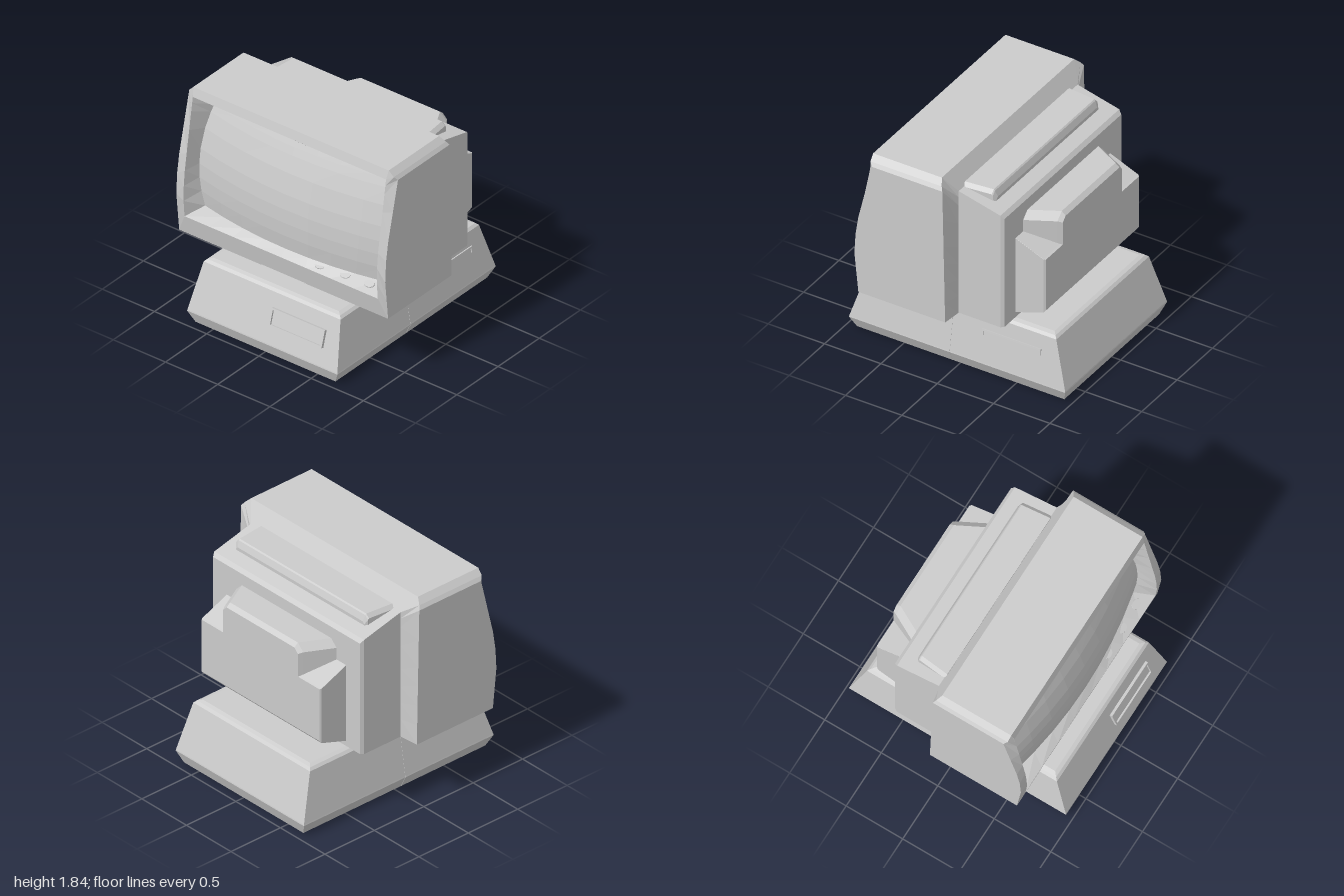
import * as THREE from 'three';

const mat = new THREE.MeshStandardMaterial({ color: 0xcccccc, flatShading: true, side: THREE.DoubleSide });

function addMesh(parent, name, geometry, x = 0, y = 0, z = 0) {
  const m = new THREE.Mesh(geometry, mat);
  m.name = name;
  m.position.set(x, y, z);
  parent.add(m);
  return m;
}

function fromTriangles(points) {
  const g = new THREE.BufferGeometry();
  g.setAttribute('position', new THREE.Float32BufferAttribute(points.flat(), 3));
  g.computeVertexNormals();
  return g;
}

// Skin over closed rings, each counter-clockwise seen from the last ring's side
function loft(rings, capStart = true, capEnd = true) {
  const t = [];
  const n = rings[0].length;
  for (let r = 0; r + 1 < rings.length; r++) {
    const a = rings[r], b = rings[r + 1];
    for (let i = 0; i < n; i++) {
      const k = (i + 1) % n;
      t.push(a[i], a[k], b[k], a[i], b[k], b[i]);
    }
  }
  const cap = (ring, flip) => {
    const c = [0, 1, 2].map((d) => ring.reduce((s, p) => s + p[d], 0) / n);
    ring.forEach((p, i) => {
      const q = ring[(i + 1) % n];
      t.push(c, flip ? q : p, flip ? p : q);
    });
  };
  if (capStart) cap(rings[0], true);
  if (capEnd) cap(rings[rings.length - 1], false);
  return fromTriangles(t);
}

// Rectangle in plan, and rectangle with chamfered top corners facing z
const plan = (y, hx, hz) => [[hx, y, hz], [hx, y, -hz], [-hx, y, -hz], [-hx, y, hz]];
const upright = (z, w, y0, y1, c = 0.001) => [
  [-w, y0, z], [w, y0, z], [w, y1 - c, z], [w - c, y1, z], [c - w, y1, z], [-w, y1 - c, z],
];

const COLS = 8;
const STEPS = [0.14, 0.27, 0.4, 0.54, 0.73, 0.88, 0.95];

// Finely divided upright ring; width and depth vary with height
function ring(y0, y1, width, depth, ys = STEPS.map((s) => y0 + (y1 - y0) * s)) {
  const p = [];
  const put = (x, y) => p.push([x, y, depth(x, y)]);
  const across = (i) => (2 * i) / COLS - 1;
  for (let i = 0; i <= COLS; i++) put(width(y0) * across(i), y0);
  ys.forEach((y) => put(width(y), y));
  for (let i = COLS; i >= 0; i--) put(width(y1) * across(i), y1);
  [...ys].reverse().forEach((y) => put(-width(y), y));
  return p;
}

// Piecewise linear lookup through [position, value] pairs
const curve = (pts) => (v) => {
  let i = 0;
  while (i < pts.length - 2 && v > pts[i + 1][0]) i++;
  const [a, b] = [pts[i], pts[i + 1]];
  return THREE.MathUtils.lerp(a[1], b[1], THREE.MathUtils.clamp((v - a[0]) / (b[0] - a[0]), 0, 1));
};

const screenWidth = (y) => 0.9 - 0.06 * ((y - 1.23) / 0.44) ** 2;
const screenDepth = (x, y) => 0.7 - 0.11 * (x / 0.9) ** 2 - 0.15 * ((y - 1.03) / 0.65) ** 2;
const SCREEN_LOW = 0.8, SCREEN_HIGH = 1.69;

function addMonitor(group) {
  const monitor = new THREE.Group();
  monitor.name = 'monitor';
  group.add(monitor);

  // Housing: rear box, wide shell, front lip and recessed bezel in one skin
  const shellYs = [0.75, 0.92, 1.1, 1.26, 1.5, 1.76, 1.79];
  const shellWidth = curve([[0.58, 1], [1.76, 1], [1.79, 0.98], [1.835, 0.935]]);
  const shellBack = curve([[0.58, -0.07], [1.76, -0.045], [1.835, 0]]);
  const shellFront = curve([[0.58, 0.7], [0.92, 0.735], [1.1, 0.725], [1.26, 0.7], [1.76, 0.58], [1.79, 0.605], [1.835, 0.61]]);
  const lipFront = curve([[0.745, 0.73], [0.92, 0.745], [1.1, 0.735], [1.26, 0.71], [1.76, 0.63]]);
  const rear = (z, w, y0, y1) => ring(y0, y1, () => w, () => z);
  const lip = ring(0.745, 1.76, () => 0.925, (x, y) => lipFront(y));
  const bezel = ring(SCREEN_LOW, SCREEN_HIGH, screenWidth, screenDepth);
  addMesh(monitor, 'housing', loft([
    rear(-0.487, 0.825, 0.59, 1.57),
    rear(-0.46, 0.84, 0.585, 1.6),
    rear(-0.09, 0.84, 0.585, 1.69),
    ring(0.58, 1.835, shellWidth, (x, y) => shellBack(y), shellYs),
    ring(0.58, 1.835, shellWidth, (x, y) => shellFront(y), shellYs),
    lip,
  ], true, false));
  addMesh(monitor, 'bezel', loft([lip, bezel], false, false));

  // Bulging picture tube
  const rows = [0, ...STEPS, 1].map((s) => SCREEN_LOW + (SCREEN_HIGH - SCREEN_LOW) * s);
  const at = (i, j) => {
    const y = rows[j], x = screenWidth(y) * ((2 * i) / COLS - 1);
    return [x, y, screenDepth(x, y)];
  };
  const t = [];
  for (let j = 0; j + 1 < rows.length; j++) {
    for (let i = 0; i < COLS; i++) {
      t.push(at(i, j), at(i + 1, j), at(i + 1, j + 1), at(i, j), at(i + 1, j + 1), at(i, j + 1));
    }
  }
  addMesh(monitor, 'screen', fromTriangles(t));

  // Control knobs on the lower ledge
  for (const x of [0.33, 0.56, 0.78]) {
    const knob = addMesh(monitor, 'knob', new THREE.CylinderGeometry(0.045, 0.05, 0.02, 10), x, 0.775, 0.695 - 0.06 * x);
    knob.scale.z = 0.7;
    knob.rotation.x = 0.4;
  }

  // Raised vent cover on the roof of the rear box
  addMesh(monitor, 'ventCover', loft([
    upright(-0.35, 0.72, 1.58, 1.655, 0.02),
    upright(-0.33, 0.74, 1.58, 1.705, 0.03),
    upright(-0.32, 0.74, 1.58, 1.715, 0.03),
    upright(-0.08, 0.765, 1.58, 1.715, 0.03),
  ]));

  // Tube neck cover at the back, with a tapered hump on top
  addMesh(monitor, 'neckCover', loft([
    upright(-0.75, 0.66, 0.74, 1.2),
    upright(-0.735, 0.67, 0.72, 1.205),
    upright(-0.47, 0.67, 0.63, 1.315),
  ]));
  addMesh(monitor, 'neckHump', loft([
    upright(-0.75, 0.42, 1.1, 1.44, 0.04),
    upright(-0.715, 0.44, 1.1, 1.47, 0.06),
    upright(-0.47, 0.57, 1.1, 1.47, 0.06),
  ]));

  // Swivel under the housing
  const collar = addMesh(monitor, 'swivelCollar', new THREE.CylinderGeometry(0.6, 0.46, 0.025, 16), 0, 0.572, 0.09);
  const post = addMesh(monitor, 'swivelPost', new THREE.CylinderGeometry(0.46, 0.46, 0.08, 16), 0, 0.535, 0.09);
  collar.scale.z = 1.1;
  post.scale.z = 1.1;
}

function addBase(group) {
  const base = new THREE.Group();
  base.name = 'base';
  group.add(base);

  const sections = [[0, 0.67, 0.92], [0.1, 0.72, 0.96], [0.11, 0.718, 0.958], [0.505, 0.655, 0.84], [0.525, 0.635, 0.82], [0.535, 0.6, 0.79]];
  addMesh(base, 'case', loft(sections.map(([y, hx, hz]) => plan(y, hx, hz))));

  // Thin joint line around the case
  addMesh(base, 'seam', loft(sections.map(([y, hx]) => plan(y, hx + 0.002, 0.004))), 0, 0, 0.07);

  // Drive slot: a raised frame lying on the sloped front
  const drive = new THREE.Group();
  drive.name = 'driveSlot';
  drive.position.set(0.295, 0.32, 0.894);
  drive.rotation.x = -0.295;
  base.add(drive);
  const rect = (shape, w, h) => shape.moveTo(-w, -h).lineTo(w, -h).lineTo(w, h).lineTo(-w, h).closePath();
  const frame = rect(new THREE.Shape(), 0.255, 0.073);
  frame.holes.push(rect(new THREE.Path(), 0.24, 0.058));
  addMesh(drive, 'slotFrame', new THREE.ExtrudeGeometry(frame, { depth: 0.025, bevelEnabled: false }));
  addMesh(drive, 'slotPanel', new THREE.BoxGeometry(0.48, 0.116, 0.02));

  // Side handle bracket on the sloped left flank
  const handle = new THREE.Group();
  handle.name = 'sideHandle';
  handle.position.set(0.677, 0.38, -0.46);
  handle.rotation.z = 0.161;
  base.add(handle);
  addMesh(handle, 'handleBar', new THREE.BoxGeometry(0.02, 0.016, 0.52));
  for (const s of [-1, 1]) addMesh(handle, 'handleEnd', new THREE.BoxGeometry(0.014, 0.04, 0.01), 0, -0.025, s * 0.255);

  // Small latch at the top of the flank
  addMesh(base, 'latch', new THREE.BoxGeometry(0.04, 0.1, 0.035), 0.64, 0.485, 0);
}

export function createModel() {
  const group = new THREE.Group();
  group.name = 'desktopComputer';
  addBase(group);
  addMonitor(group);
  return group;
}
